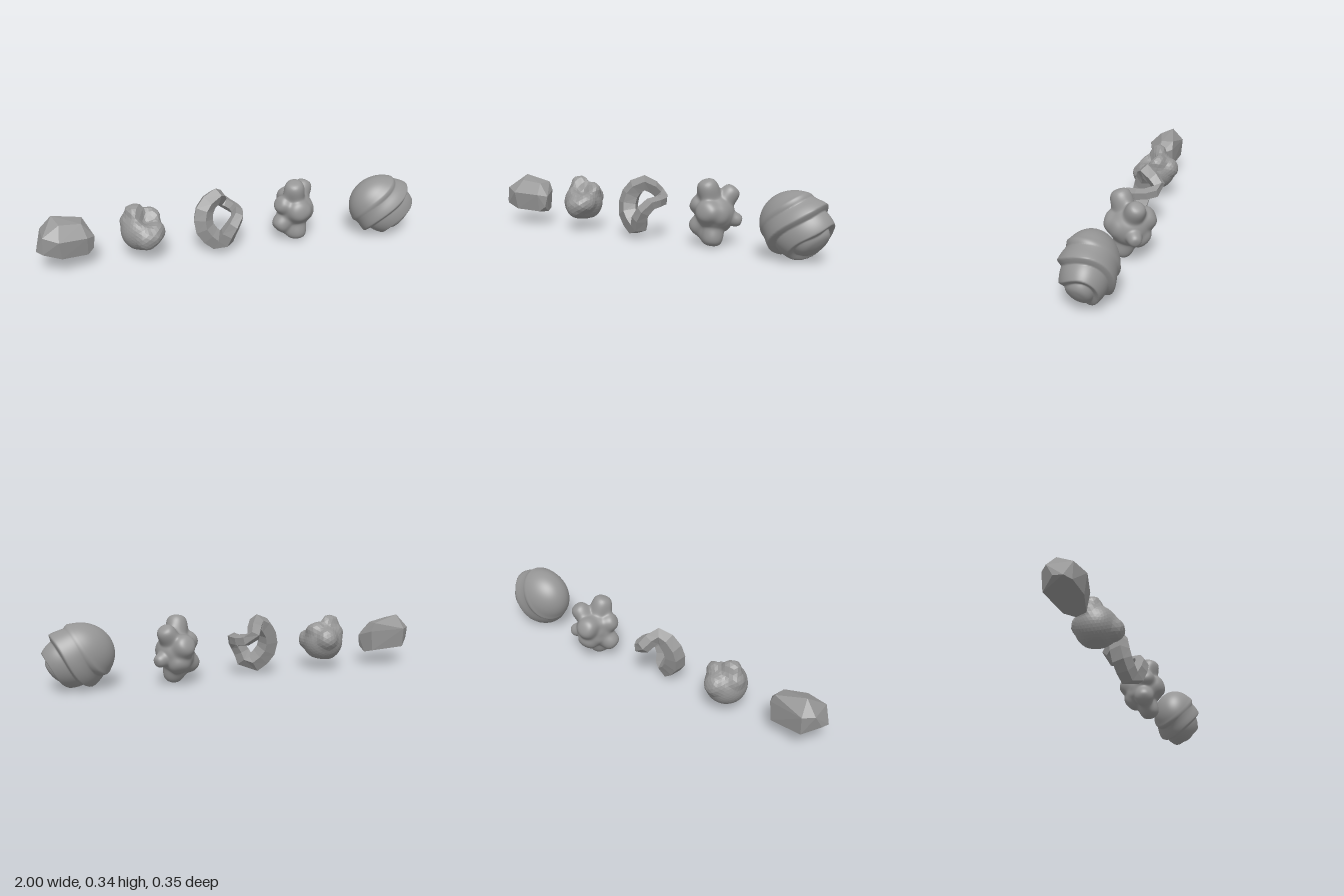
import * as THREE from 'three';
import { mergeVertices } from 'three/addons/utils/BufferGeometryUtils.js';
import { ConvexGeometry } from 'three/addons/geometries/ConvexGeometry.js';

const V = (p) => new THREE.Vector3(...p);

// Ellipsoid whose surface is scaled by a rule of direction
function radial(center, radii, detail, scaleAt) {
  let geo = new THREE.IcosahedronGeometry(1, detail);
  geo.deleteAttribute('uv');
  geo.deleteAttribute('normal');
  geo = mergeVertices(geo, 1e-4);
  const p = geo.attributes.position, d = new THREE.Vector3();
  for (let i = 0; i < p.count; i++) {
    d.fromBufferAttribute(p, i).normalize();
    const s = scaleAt(d);
    d.multiply(V(radii)).multiplyScalar(s).add(V(center));
    p.setXYZ(i, d.x, d.y, d.z);
  }
  geo.computeVertexNormals();
  return geo;
}

// Round core with blunt limbs that reach each target: [x, y, z, sharpness]
function limbs(center, core, detail, targets) {
  const pulls = targets.map(([x, y, z, sharp]) => {
    const dir = new THREE.Vector3(x, y, z).sub(V(center));
    const reach = dir.length();
    return { dir: dir.normalize(), reach, sharp, amount: 0 };
  });
  const radiusAt = (d) => pulls.reduce(
    (r, q) => r + q.amount * Math.exp(-((q.sharp * (1 - d.dot(q.dir))) ** 2)), core);
  // Settle overlapping pulls so every tip lands on its target
  for (let pass = 0; pass < 40; pass++) {
    for (const q of pulls) q.amount += 0.7 * (q.reach - radiusAt(q.dir));
  }
  return radial(center, [1, 1, 1], detail, radiusAt);
}

// Closed tube whose thickness swells on one half of the loop
function swellingLoop(points, radius, swell, segments, sides) {
  const path = new THREE.CatmullRomCurve3(points.map(V), true);
  const geo = new THREE.TubeGeometry(path, segments, radius, sides, true);
  const p = geo.attributes.position, v = new THREE.Vector3();
  for (let i = 0; i < p.count; i++) {
    const u = Math.floor(i / (sides + 1)) / segments;
    const c = path.getPointAt(u % 1);
    v.fromBufferAttribute(p, i).sub(c).multiplyScalar(1 + swell * Math.sin(2 * Math.PI * u)).add(c);
    p.setXYZ(i, v.x, v.y, v.z);
  }
  return geo;
}

export function createModel() {
  const group = new THREE.Group();
  const add = (name, geo, flat) => {
    const mesh = new THREE.Mesh(geo, new THREE.MeshStandardMaterial({ color: 0x959595, flatShading: flat }));
    mesh.name = name;
    group.add(mesh);
  };

  // Chipped boulder
  const chips = [
    [-1, 0.12, -0.01], [-0.99, 0.13, -0.06], [-0.97, 0.2, -0.1], [-0.91, 0.27, -0.08],
    [-0.92, 0.2, -0.14], [-0.92, 0.1, -0.13], [-0.88, 0.245, -0.01], [-0.77, 0.23, -0.03],
    [-0.76, 0.235, -0.1], [-0.74, 0.19, -0.1], [-0.71, 0.16, -0.02], [-0.72, 0.1, -0.01],
    [-0.73, 0.07, -0.05], [-0.75, 0.17, 0.02], [-0.75, 0.075, 0.005], [-0.88, 0.085, 0.04],
    [-0.89, 0.18, 0.055], [-0.97, 0.11, 0.02], [-0.965, 0.2, 0.02], [-0.75, 0.085, -0.1],
  ];
  add('boulder', new ConvexGeometry(chips.map(V)), true);

  // Cleft stone: bowl split by a groove between a horn and a shoulder
  add('cleftStone', limbs([-0.47, 0.15, -0.045], 0.105, 6, [
    [-0.505, 0.29, -0.05, 13], [-0.56, 0.23, -0.075, 12], [-0.395, 0.25, -0.06, 11],
    [-0.445, 0.19, -0.165, 9], [-0.45, 0.12, 0.083, 9], [-0.375, 0.16, 0.04, 10],
    [-0.575, 0.15, -0.055, 10], [-0.46, 0.055, -0.04, 8],
    [-0.455, 0.205, -0.02, 9],
  ]), true);

  // Twisted ring: heavy crescent on the left, thin pinched bar on the right
  add('twistedRing', swellingLoop([
    [-0.075, 0.28, -0.06], [-0.14, 0.23, -0.04], [-0.15, 0.13, -0.02], [-0.065, 0.05, 0.01],
    [-0.03, 0.125, 0.045], [0.015, 0.185, 0.03], [0.03, 0.195, -0.06], [-0.02, 0.215, -0.13],
  ], 0.043, 0.28, 16, 5), true);

  // Knobbly stone with rounded limbs
  add('knobblyStone', limbs([0.355, 0.165, -0.045], 0.098, 24, [
    [0.33, 0.335, 0.01, 11], [0.435, 0.295, -0.1, 12], [0.245, 0.225, 0.0, 10],
    [0.245, 0.07, -0.01, 10], [0.36, 0.005, 0, 10], [0.475, 0.125, -0.1, 20],
    [0.35, 0.19, 0.075, 6], [0.43, 0.17, 0.03, 9], [0.33, 0.22, -0.165, 7],
    [0.36, 0.08, -0.13, 7], [0.28, 0.17, -0.09, 9],
  ]), false);

  // Layered stone: nested shells stepping away from a tilted axis
  const axis = V([0.75, -0.6, 0.25]).normalize();
  const side = V([0, 0, 1]).cross(axis).normalize();
  const up = axis.clone().cross(side);
  const { smoothstep, clamp } = THREE.MathUtils;
  add('layeredStone', radial([0.815, 0.17, 0.037], [0.17, 0.155, 0.128], 36, (d) => {
    const angle = Math.acos(clamp(d.dot(axis), -1, 1));
    const turn = Math.atan2(d.dot(up), d.dot(side));
    const t = (angle + 0.12 * Math.sin(2 * turn)) / 0.6;
    const f = t - Math.floor(t);
    const shell = f < 0.25 ? f / 0.25 : (1 - f) / 0.75;
    const fade = smoothstep(angle, 0.3, 0.7) * (1 - smoothstep(angle, 1.5, 2.1));
    return 1 + 0.16 * fade * (shell - 0.55);
  }), false);

  return group;
}
